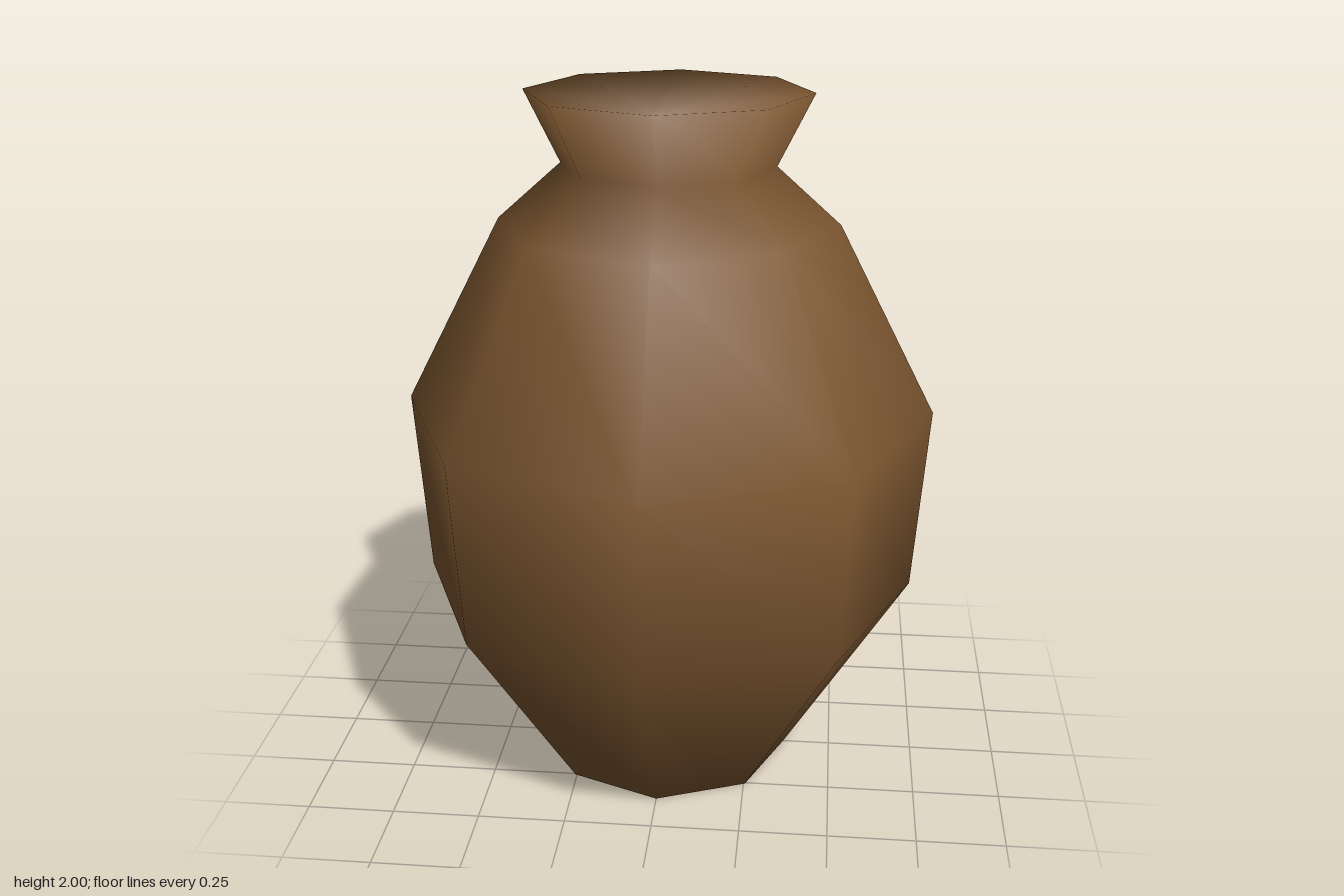
import * as THREE from 'three';

const SIDES = 8;

// Radius and height of each ring, from the foot to the rim
const PROFILE = [
  [0.36, 0], [0.72, 0.56], [0.76, 1.1], [0.48, 1.64], [0.3, 1.8], [0.4, 2],
].map(([r, y]) => new THREE.Vector2(r, y));

export function createModel() {
  const clay = new THREE.MeshStandardMaterial({ color: 0x7d5730 });
  clay.name = 'brown clay';

  // Eight-sided wall with smooth normals
  const geometry = new THREE.LatheGeometry(PROFILE, SIDES);
  const index = Array.from(geometry.index.array);
  const normals = geometry.attributes.normal;
  const rings = PROFILE.length;
  const last = rings - 1;

  // Flat foot and mouth share the wall's vertices, so the shading runs over their edges
  for (let i = 1; i < SIDES - 1; i++) {
    index.push(0, (i + 1) * rings, i * rings);
    index.push(last, i * rings + last, (i + 1) * rings + last);
  }
  geometry.setIndex(index);

  // Soften the normals around the foot and the rim
  for (let i = 0; i <= SIDES; i++) {
    const angle = (i / SIDES) * Math.PI * 2;
    for (const [ring, ny] of [[0, -1], [last, 0.62]]) {
      const n = new THREE.Vector3(Math.sin(angle), ny, Math.cos(angle)).normalize();
      normals.setXYZ(i * rings + ring, n.x, n.y, n.z);
    }
  }

  const vase = new THREE.Mesh(geometry, clay);
  vase.name = 'vaseBody';

  const group = new THREE.Group();
  group.name = 'vase';
  group.add(vase);
  return group;
}
